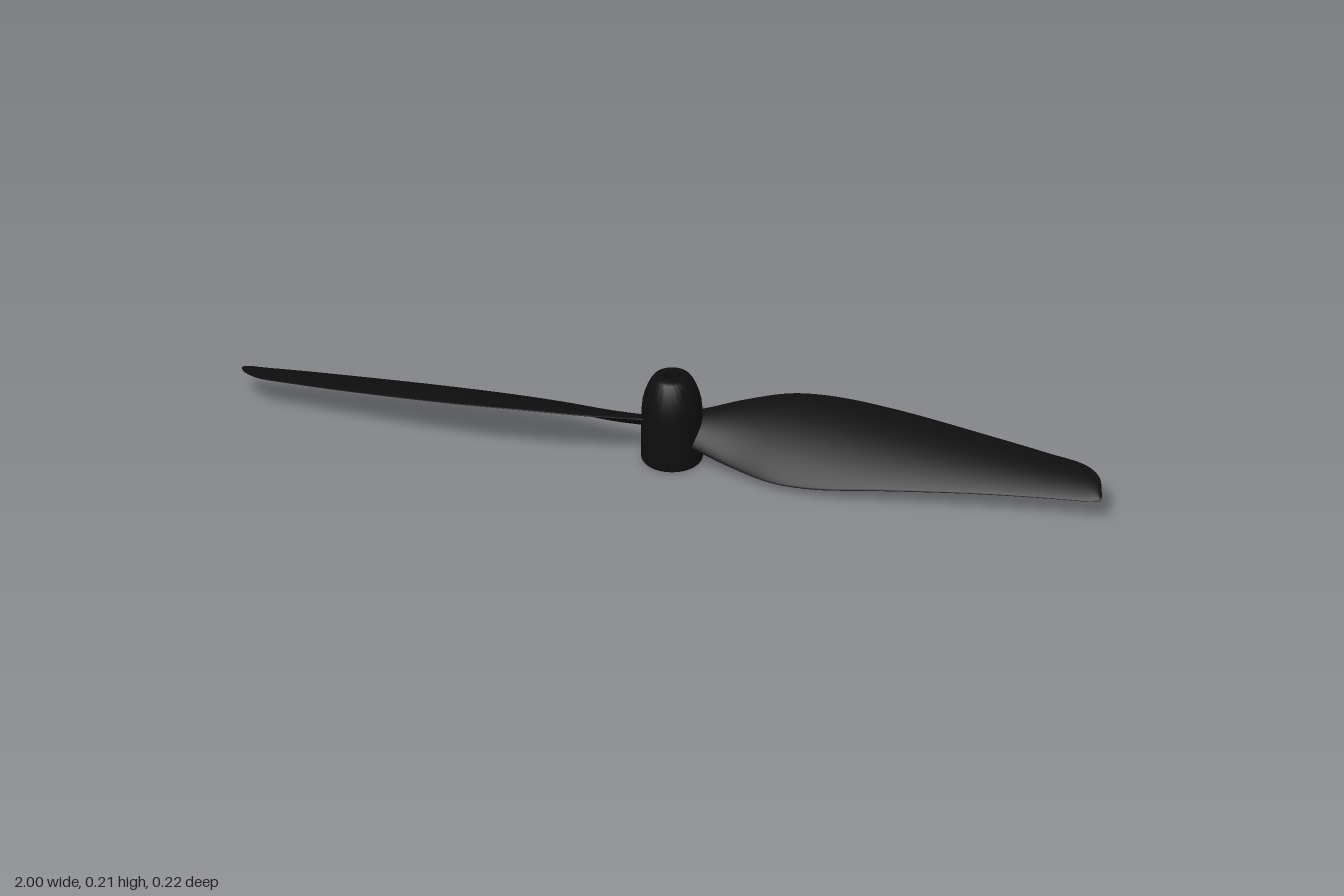
import * as THREE from 'three';
import { toCreasedNormals } from 'three/addons/utils/BufferGeometryUtils.js';

const black = new THREE.MeshStandardMaterial({ color: 0x0e0e0e });
black.name = 'matte black';

const curve = (points) => new THREE.CatmullRomCurve3(points.map((p) => new THREE.Vector3(...p)));

// High rear edge and low front edge of the blade that points to +x, from root to tip
const highEdge = curve([
  [0.03, 0.108, -0.03], [0.07, 0.114, -0.042], [0.15, 0.128, -0.074], [0.25, 0.141, -0.103],
  [0.35, 0.142, -0.11], [0.5, 0.132, -0.1], [0.7, 0.114, -0.071], [0.85, 0.101, -0.045],
  [0.945, 0.093, -0.024], [0.983, 0.085, 0.008], [1.0, 0.066, 0.055],
]);
const lowEdge = curve([
  [0.03, 0.058, 0.034], [0.07, 0.05, 0.045], [0.15, 0.035, 0.07], [0.25, 0.025, 0.1],
  [0.35, 0.027, 0.11], [0.5, 0.04, 0.104], [0.7, 0.052, 0.09], [0.85, 0.057, 0.081],
  [0.945, 0.058, 0.075], [0.98, 0.058, 0.073], [1.0, 0.06, 0.067],
]);

// Cambered, twisted aerofoil sections lofted along the two edges
function bladeGeometry() {
  const rows = 72, half = 14, ring = half * 2;
  const positions = [], index = [];
  for (let i = 0; i <= rows; i++) {
    const t = i / rows;
    const low = lowEdge.getPoint(t), high = highEdge.getPoint(t);
    const chord = high.clone().sub(low);
    const length = chord.length();
    const normal = new THREE.Vector3(1, 0, 0).cross(chord).normalize();
    const thickness = Math.min(0.038 - 0.026 * t, length * 0.4);
    const camber = length * 0.075;
    for (let j = 0; j < ring; j++) {
      const upper = j <= half;
      const a = (upper ? j : ring - j) / half;
      const u = (1 - Math.cos(Math.PI * a)) / 2;
      const bulge = Math.sqrt(1 - u) * u * 0.2 + Math.sqrt(u * (1 - u)) * 0.85;
      const offset = camber * 4 * u * (1 - u) + (upper ? 0.5 : -0.5) * thickness * bulge;
      const p = low.clone().addScaledVector(chord, u).addScaledVector(normal, offset);
      positions.push(p.x, p.y, p.z);
    }
  }
  for (let i = 0; i < rows; i++) {
    for (let j = 0; j < ring; j++) {
      const a = i * ring + j, b = i * ring + (j + 1) % ring;
      index.push(a, a + ring, b, b, a + ring, b + ring);
    }
  }
  // Close the tip
  const tip = rows * ring;
  for (let j = 1; j < ring - 1; j++) index.push(tip, tip + j + 1, tip + j);
  const geometry = new THREE.BufferGeometry();
  geometry.setAttribute('position', new THREE.Float32BufferAttribute(positions, 3));
  geometry.setIndex(index);
  geometry.computeVertexNormals();
  return geometry;
}

// Bullet-shaped hub with a through bore and a recess underneath
function hubGeometry() {
  const profile = [
    [0.02, 0.03], [0.042, 0.03], [0.042, 0], [0.065, 0], [0.069, 0.005], [0.069, 0.1],
    [0.0685, 0.125], [0.066, 0.15], [0.062, 0.167], [0.056, 0.184], [0.049, 0.199],
    [0.042, 0.209], [0.036, 0.213], [0.03, 0.214], [0.02, 0.214], [0.02, 0.03],
  ].map(([r, y]) => new THREE.Vector2(r, y));
  return toCreasedNormals(new THREE.LatheGeometry(profile, 56), 0.6);
}

export function createModel() {
  const model = new THREE.Group();
  model.name = 'propeller';

  const hub = new THREE.Mesh(hubGeometry(), black);
  hub.name = 'hub';
  model.add(hub);

  // Two identical blades, half a turn apart
  const geometry = bladeGeometry();
  ['leftBlade', 'rightBlade'].forEach((name, k) => {
    const blade = new THREE.Mesh(geometry, black);
    blade.name = name;
    blade.rotation.y = k * Math.PI;
    model.add(blade);
  });
  return model;
}
